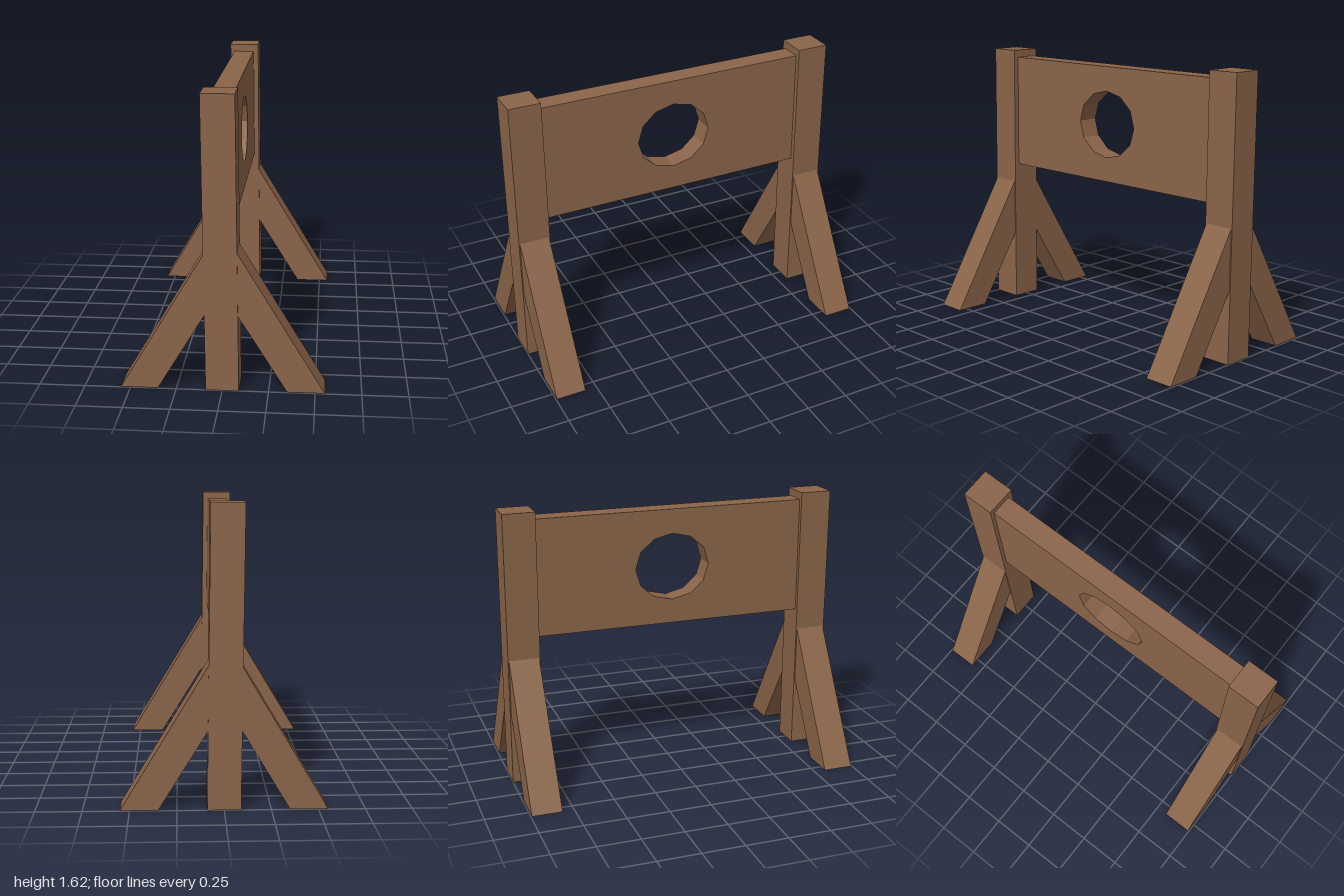
import * as THREE from 'three';

const LEAN = 0.0123; // the whole frame leans slightly toward -x

const wood = new THREE.MeshStandardMaterial({
  color: 0x8a6449, flatShading: true, side: THREE.DoubleSide,
});

// Four-sided beam, open underneath: outline in x/y given as
// [bottom left, bottom right, top right, top left], spanning z0 to z1
function beam(name, [bl, br, tr, tl], z0, z1) {
  const box = new THREE.BoxGeometry(1, 1, 1);
  const p = box.attributes.position;
  for (let i = 0; i < p.count; i++) {
    const right = p.getX(i) > 0;
    const [x, y] = p.getY(i) > 0 ? (right ? tr : tl) : (right ? br : bl);
    p.setXYZ(i, x, y, p.getZ(i) > 0 ? z1 : z0);
  }
  // Leave out the bottom face
  box.setIndex(Array.from(box.index.array).filter((_, i) => i < 18 || i >= 24));
  box.clearGroups();
  const geometry = box.toNonIndexed();
  geometry.computeVertexNormals();
  const mesh = new THREE.Mesh(geometry, wood);
  mesh.name = name;
  return mesh;
}

// Upright post with a slanting brace on each side
function createStand(name, side) {
  const stand = new THREE.Group();
  stand.name = name;
  const span = (a, b) => (side > 0 ? [a, b] : [-b, -a]);
  const H = 1.62;
  const top = -LEAN * H;
  stand.add(beam('post',
    [[-0.09, 0], [0.09, 0], [0.09 + top, H], [-0.09 + top, H]], ...span(0.812, 1)));
  stand.add(beam('leftBrace',
    [[0.35, 0], [0.552, 0], [0.07, 0.793], [0.07, 0.45]], ...span(0.818, 0.994)));
  stand.add(beam('rightBrace',
    [[-0.553, 0], [-0.35, 0], [-0.085, 0.443], [-0.085, 0.788]], ...span(0.818, 0.994)));
  return stand;
}

// Wide board with a twelve-sided hole, drawn in z/y and given thickness along x
function createBoard() {
  const z = 0.815, y0 = 0.885, y1 = 1.575, thickness = 0.125;
  const shape = new THREE.Shape([[-z, y0], [z, y0], [z, y1], [-z, y1]]
    .map(([a, b]) => new THREE.Vector2(a, b)));
  const rim = [];
  for (let i = 0; i < 12; i++) {
    const a = (i / 12) * Math.PI * 2;
    rim.push(new THREE.Vector2(0.003 + 0.226 * Math.cos(a), 1.23 + 0.2 * Math.sin(a)));
  }
  shape.holes.push(new THREE.Path(rim));
  const geometry = new THREE.ExtrudeGeometry(shape, { depth: thickness, bevelEnabled: false });
  geometry.rotateY(-Math.PI / 2);
  // Lean the board along with the posts
  const p = geometry.attributes.position;
  for (let i = 0; i < p.count; i++) p.setX(i, p.getX(i) + 0.06 - LEAN * p.getY(i));
  geometry.computeVertexNormals();
  const mesh = new THREE.Mesh(geometry, wood);
  mesh.name = 'board';
  return mesh;
}

export function createModel() {
  const model = new THREE.Group();
  model.name = 'woodenTargetFrame';
  model.add(createStand('frontStand', 1), createStand('backStand', -1), createBoard());
  return model;
}
